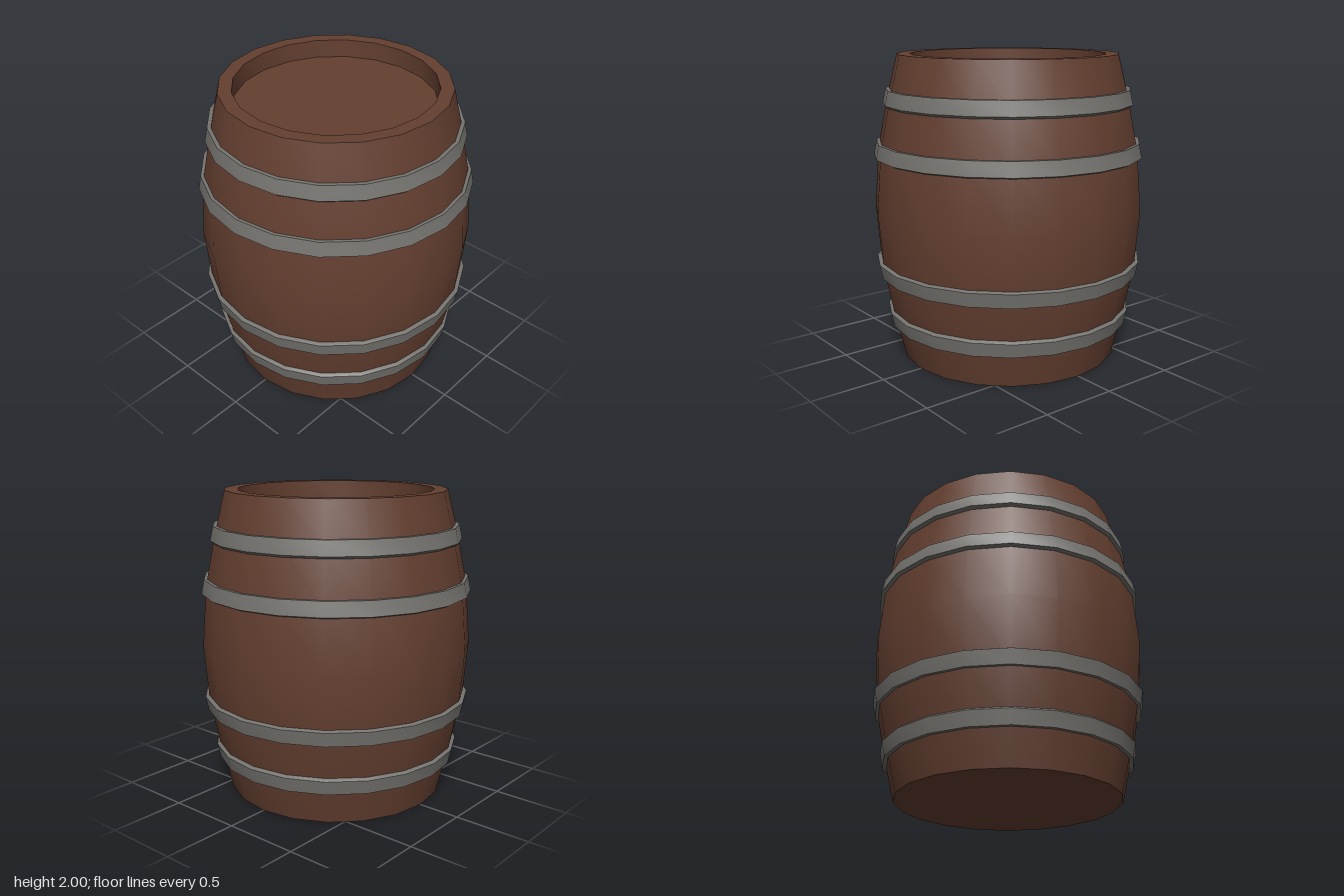
import * as THREE from 'three';
import { toCreasedNormals } from 'three/addons/utils/BufferGeometryUtils.js';

const SIDES = 20;

// Turn a profile of [radius, y] points, smooth around but sharp at strong corners
function turned(name, profile, material) {
  const points = profile.map(([r, y]) => new THREE.Vector2(r, y));
  const geometry = toCreasedNormals(new THREE.LatheGeometry(points, SIDES), Math.PI / 5);
  const mesh = new THREE.Mesh(geometry, material);
  mesh.name = name;
  return mesh;
}

export function createModel() {
  const wood = new THREE.MeshStandardMaterial({ color: 0x643f30 });
  wood.name = 'brown wood';
  const iron = new THREE.MeshStandardMaterial({ color: 0x757470 });
  iron.name = 'grey iron';

  const barrel = new THREE.Group();
  barrel.name = 'barrel';

  // Bulging staves, closed base, rim and recessed lid
  barrel.add(turned('body', [
    [0, 0], [0.72, 0], [0.79, 0.28], [0.857, 0.61], [0.888, 1],
    [0.857, 1.39], [0.79, 1.72], [0.72, 2],
    [0.635, 2], [0.635, 1.88], [0, 1.88],
  ], wood));

  // Hoops: sloped outer face, ends sunk into the staves
  const hoops = {
    endHoop: [[0.77, 1.665], [0.802, 1.67], [0.82, 1.685], [0.8, 1.778], [0.76, 1.778]],
    middleHoop: [[0.84, 1.335], [0.868, 1.338], [0.886, 1.347], [0.868, 1.44], [0.83, 1.44]],
  };
  for (const [name, profile] of Object.entries(hoops)) {
    barrel.add(turned(name + 'Top', profile, iron));
    const mirrored = profile.map(([r, y]) => [r, 2 - y]).reverse();
    barrel.add(turned(name + 'Bottom', mirrored, iron));
  }
  return barrel;
}
